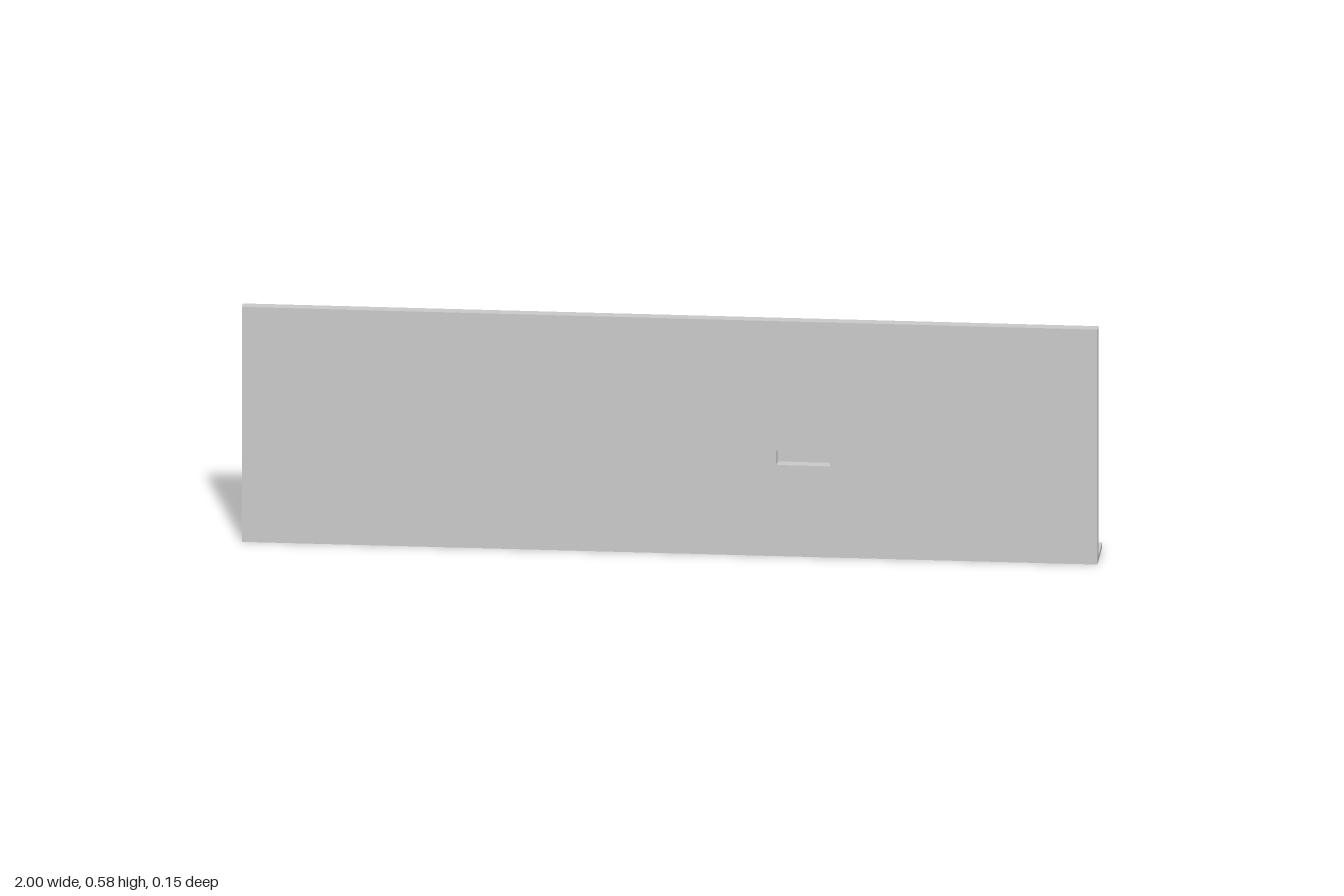
import * as THREE from 'three';

const material = new THREE.MeshStandardMaterial({ color: 0xcccccc, flatShading: true });
const WALL_BACK = 0.049, WALL_FRONT = 0.075, WALL_HEIGHT = 0.577;
const CELL = 0.125, STEP = 0.0353, FLOOR = 0.012;

// Box given by its lower and upper corners
function box(name, [x0, y0, z0], [x1, y1, z1]) {
  const mesh = new THREE.Mesh(new THREE.BoxGeometry(x1 - x0, y1 - y0, z1 - z0), material);
  mesh.position.set((x0 + x1) / 2, (y0 + y1) / 2, (z0 + z1) / 2);
  mesh.name = name;
  return mesh;
}

// Rectangle outline for a shape or a hole
function rect(path, x0, y0, x1, y1) {
  path.moveTo(x0, y0).lineTo(x1, y0).lineTo(x1, y1).lineTo(x0, y1).closePath();
  return path;
}

export function createModel() {
  const model = new THREE.Group();
  model.name = 'wallWithPlatforms';

  // Tall wall with one slot cut through in front of a platform
  const outline = rect(new THREE.Shape(), -1, 0, 1, WALL_HEIGHT);
  const slotY = FLOOR + 6 * STEP;
  outline.holes.push(rect(new THREE.Path(), 0.25, slotY, 0.25 + CELL, slotY + STEP));
  const wall = new THREE.Mesh(
    new THREE.ExtrudeGeometry(outline, { depth: WALL_FRONT - WALL_BACK, bevelEnabled: false }), material);
  wall.position.z = WALL_BACK;
  wall.name = 'wall';
  model.add(wall);

  // Thin ground ledge behind the wall
  model.add(box('groundLedge', [-1, 0, -0.052], [1, FLOOR, WALL_BACK]));

  // Platforms: column (in cells from x = 0), level (in steps above the ledge), rear z
  const platforms = [
    [6, 2, -0.052], [5, 1, -0.048], [4, 0, -0.044],
    [4, 6, -0.01], [2, 6, -0.01], [0, 6, -0.008], [-2, 8, -0.004],
    [-5, 4, -0.042],
    [-3, 1, -0.074], [-4, 1, -0.07], [-5, 1, -0.066], [-6, 1, -0.061],
  ];
  for (const [column, level, rear] of platforms) {
    const x = column * CELL, y = FLOOR + level * STEP;
    model.add(box('platform', [x, y, rear], [x + CELL, y + STEP, WALL_BACK]));
  }
  return model;
}
